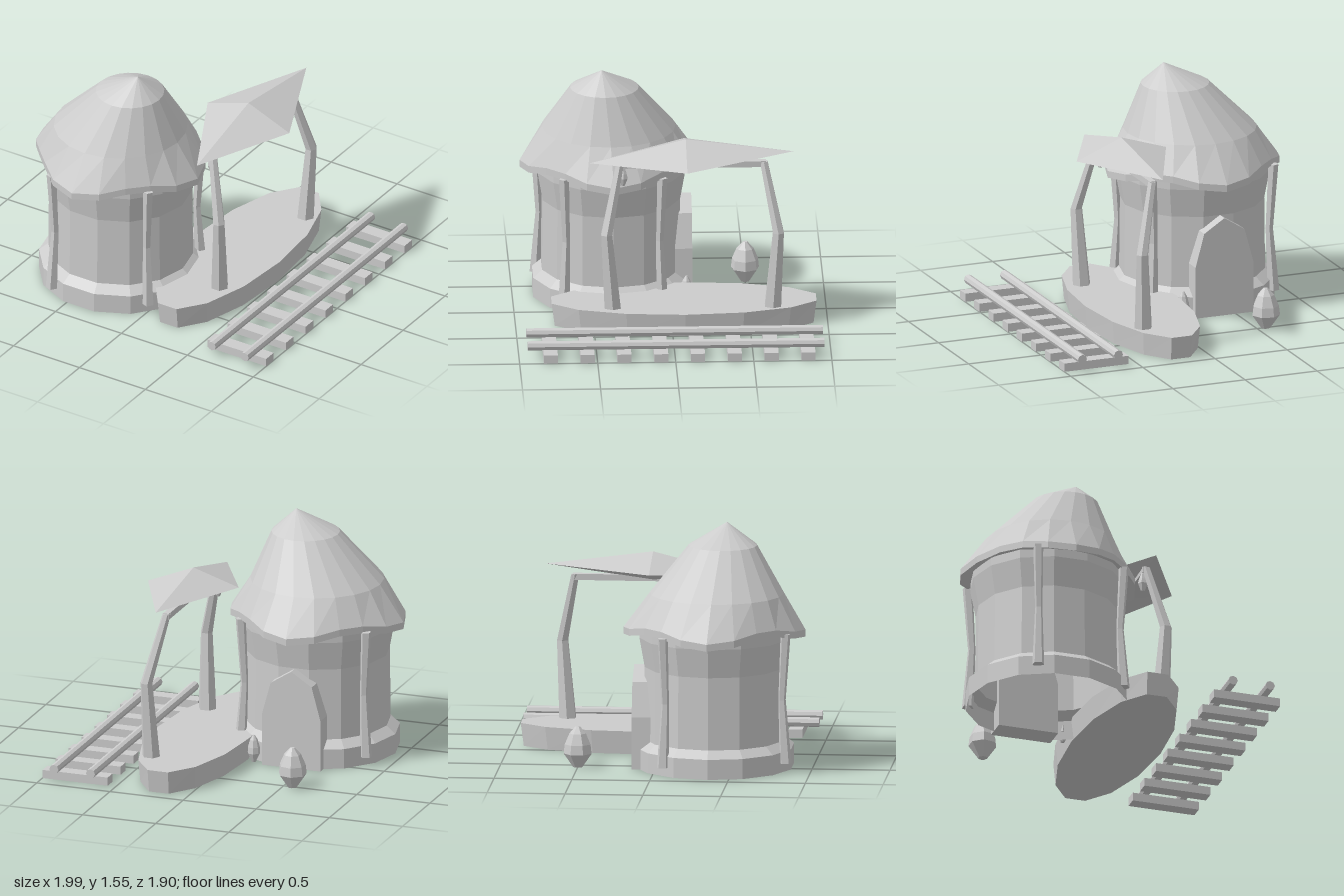
import * as THREE from 'three';

const stone = new THREE.MeshStandardMaterial({ color: 0xcccccc, side: THREE.DoubleSide });
stone.name = 'pale grey';

function add(parent, name, geometry) {
  const g = geometry.index ? geometry.toNonIndexed() : geometry;
  g.computeVertexNormals(); // flat facets
  const mesh = new THREE.Mesh(g, stone);
  mesh.name = name;
  parent.add(mesh);
  return mesh;
}

// One horizontal loop of n points; radius and height may depend on the angle
function ring(n, cx, cz, radius, y, rz = radius) {
  const val = (v, t) => (typeof v === 'function' ? v(t) : v);
  return Array.from({ length: n }, (_, i) => {
    const t = (i / n) * Math.PI * 2;
    return [cx + Math.cos(t) * val(radius, t), val(y, t), cz + Math.sin(t) * val(rz, t)];
  });
}

// Skin a list of loops from bottom to top
function loft(rings, bottom = true, top = true) {
  const n = rings[0].length, pos = rings.flat(2), idx = [];
  const last = (rings.length - 1) * n;
  for (let r = 0; r < rings.length - 1; r++) {
    for (let i = 0; i < n; i++) {
      const a = r * n + i, b = r * n + ((i + 1) % n);
      idx.push(a, a + n, b, b, a + n, b + n);
    }
  }
  for (let i = 1; i < n - 1; i++) {
    if (bottom) idx.push(0, i, i + 1);
    if (top) idx.push(last, last + i + 1, last + i);
  }
  const g = new THREE.BufferGeometry();
  g.setAttribute('position', new THREE.Float32BufferAttribute(pos, 3));
  g.setIndex(idx);
  return g;
}

// Post through [x, y, z, radius] points
const post = (points, sides = 6) => loft(points.map(([x, y, z, r]) => ring(sides, x, z, r, y)));

function createHut() {
  const hut = new THREE.Group();
  hut.name = 'hut';
  const cx = -0.41, cz = 0.365;

  // Round wall with a stepped foot and flared top, open below
  const profile = [[0.53, 0], [0.53, 0.13], [0.47, 0.18], [0.465, 0.65], [0.5, 0.84], [0.5, 0.93]];
  add(hut, 'wall', loft(profile.map(([r, y]) => ring(14, cx, cz, r, y, r * 0.97)), false, false));

  // Wavy thatched roof with an off-centre peak
  const lobe = (t) => 0.55 + 0.035 * Math.cos(4 * t);
  const sag = (base) => (t) => base - 0.027 * Math.cos(4 * t);
  add(hut, 'roof', loft([
    ring(20, cx, cz, 0.47, 0.9),
    ring(20, cx, cz, lobe, sag(0.872)),
    ring(20, cx, cz, lobe, sag(0.917)),
    ring(20, -0.4, 0.38, 0.43, 1.12),
    ring(20, -0.31, 0.41, 0.22, 1.415),
    ring(20, -0.24, 0.43, 0.003, 1.55),
  ], false, true));

  // Bowed posts under the eaves
  for (const [x, z] of [[-0.63, 0.84], [0, 0.68], [0, 0.05], [-0.85, 0.07]]) {
    const ix = x + (cx - x) * 0.05, iz = z + (cz - z) * 0.05;
    add(hut, 'eavesPost', post([[x, 0.06, z, 0.04], [ix, 0.47, iz, 0.025], [x, 0.9, z, 0.034]], 5));
  }

  // Arched door block at the back
  const arch = new THREE.Shape([[-0.2, 0], [0.2, 0], [0.2, 0.34], [0.14, 0.56], [0, 0.65], [-0.14, 0.56], [-0.2, 0.34]]
    .map(([x, y]) => new THREE.Vector2(x, y)));
  const door = add(hut, 'door', new THREE.ExtrudeGeometry(arch, { depth: 0.16, bevelEnabled: false }));
  door.position.set(-0.42, 0, -0.15);
  return hut;
}

function createPlatform() {
  const platform = new THREE.Group();
  platform.name = 'platform';

  // Oval deck, turned half a facet so its ends are flat
  const oval = (rx, rz, y) => ring(14, 0.2, -0.08, rx, y, rz);
  add(platform, 'deck', loft([oval(0.3, 0.85, 0), oval(0.315, 0.87, 0.15)]));

  // Bent canopy posts
  add(platform, 'canopyPost', post([[0.35, 0.14, -0.645, 0.06], [0.37, 0.65, -0.68, 0.04], [0.265, 1.1, -0.59, 0.028]]));
  add(platform, 'canopyPost', post([[0.35, 0.14, 0.38, 0.06], [0.37, 0.65, 0.42, 0.04], [0.265, 1.1, 0.33, 0.028]]));
  add(platform, 'beam', new THREE.BoxGeometry(0.04, 0.04, 0.95)).position.set(0.265, 1.085, -0.13);

  // Diamond canopy
  const corners = [[0.58, 1.13, -0.09], [0.27, 1.1, 0.525], [-0.04, 1.155, -0.09], [0.27, 1.165, -0.78]];
  const point = (y) => corners.map(() => [0.27, y, -0.09]);
  add(platform, 'canopy', loft([point(1.07), corners, point(1.255)], false, false));

  // Hanging lantern
  add(platform, 'lantern', post([[0.25, 0.94, 0.31, 0.012], [0.25, 0.99, 0.31, 0.032],
    [0.25, 1.02, 0.31, 0.025], [0.25, 1.07, 0.31, 0.006]]));
  return platform;
}

function createTrack() {
  const track = new THREE.Group();
  track.name = 'track';
  for (let i = 0; i < 8; i++) {
    add(track, 'sleeper', new THREE.BoxGeometry(0.445, 0.055, 0.09)).position.set(0.777, 0.0275, -0.85 + i * 0.2357);
  }
  for (const x of [0.65, 0.9]) {
    const rail = add(track, 'rail', new THREE.CylinderGeometry(0.031, 0.031, 1.9, 8));
    rail.rotation.x = Math.PI / 2;
    rail.position.set(x, 0.088, -0.005);
  }
  return track;
}

// Faceted bud-shaped bush
function createBush(parent, x, z, s, h) {
  const profile = [[0, 0.03], [0.09, 0.092], [0.15, 0.085], [0.22, 0.055], [0.265, 0.015]];
  add(parent, 'bush', post(profile.map(([y, r]) => [x, y * h, z, r * s]), 7));
}

export function createModel() {
  const model = new THREE.Group();
  model.name = 'hutAndHalt';
  model.add(createHut(), createPlatform(), createTrack());
  createBush(model, -0.56, -0.5, 1, 1);
  createBush(model, -0.15, -0.11, 0.45, 0.68);
  return model;
}
